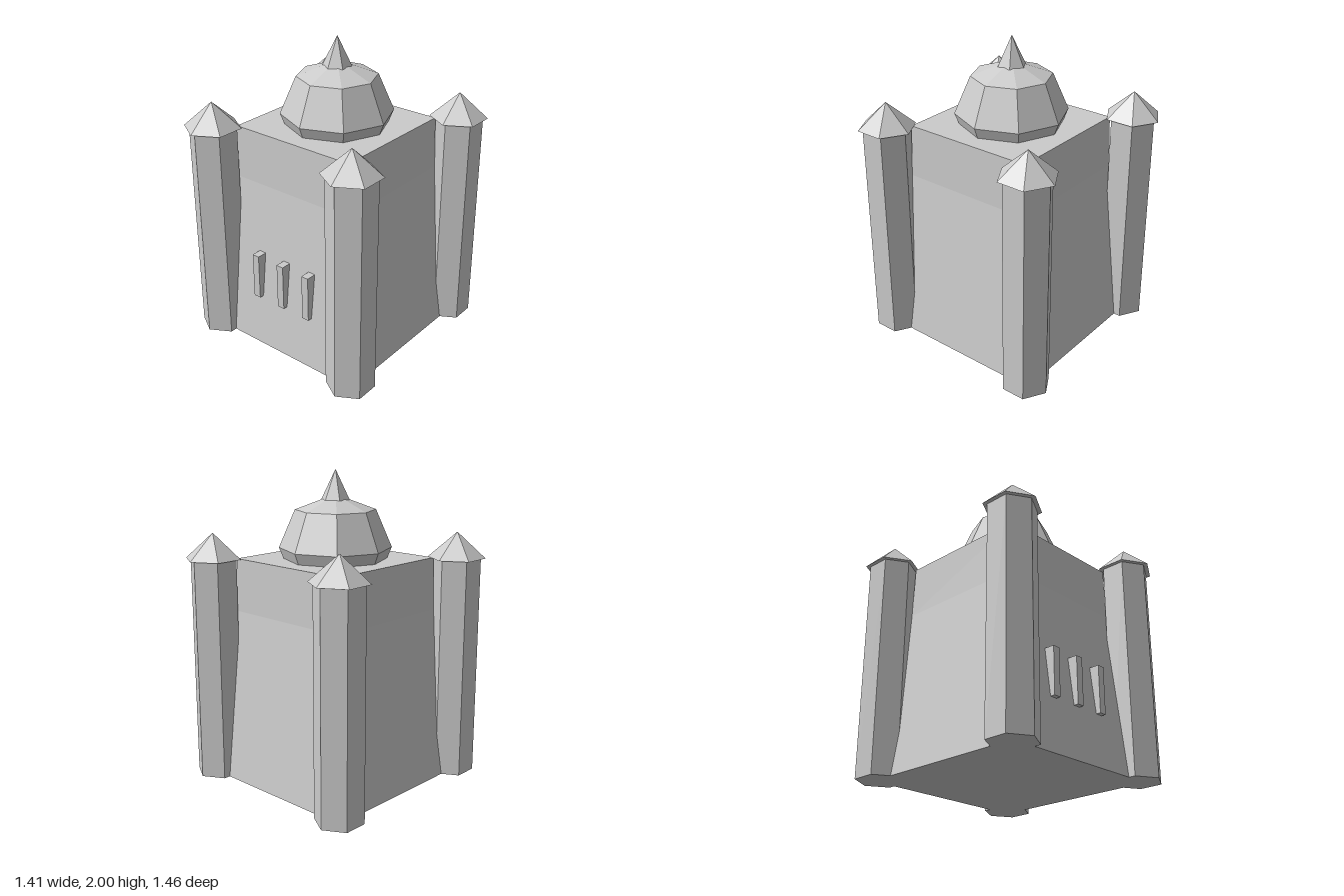
import * as THREE from 'three';

const material = new THREE.MeshStandardMaterial({ color: 0xcccccc, flatShading: true });

function add(parent, name, geometry, x = 0, y = 0, z = 0) {
  const mesh = new THREE.Mesh(geometry, material);
  mesh.name = name;
  mesh.position.set(x, y, z);
  parent.add(mesh);
  return mesh;
}

// Square block with different half widths at bottom and top, standing on y = 0
function taperedBlock(bottom, top, height) {
  return new THREE.CylinderGeometry(top * Math.SQRT2, bottom * Math.SQRT2, height, 4)
    .rotateY(Math.PI / 4)
    .translate(0, height / 2, 0);
}

export function createModel() {
  const model = new THREE.Group();
  model.name = 'domedTower';

  // Sloping walls with an upright band on top
  add(model, 'lowerWalls', taperedBlock(0.58, 0.45, 1.1));
  add(model, 'upperWalls', taperedBlock(0.45, 0.442, 0.34), 0, 1.1, 0);

  // Hexagonal corner turrets with pointed roofs
  for (const sx of [-1, 1]) {
    for (const sz of [-1, 1]) {
      const turret = new THREE.Group();
      turret.name = 'cornerTurret';
      turret.position.set(sx * 0.547, 0, sz * 0.547);
      add(turret, 'turretShaft', new THREE.CylinderGeometry(0.154, 0.154, 1.44, 6), 0, 0.72, 0);
      add(turret, 'turretRoof', new THREE.ConeGeometry(0.184, 0.165, 6), 0, 1.5225, 0);
      model.add(turret);
    }
  }

  // Eight-sided dome and its spire
  const profile = [[0, 1.44], [0.33, 1.44], [0.358, 1.51], [0.255, 1.75], [0, 1.845]]
    .map(([r, y]) => new THREE.Vector2(r, y));
  add(model, 'dome', new THREE.LatheGeometry(profile, 8));
  add(model, 'spire', new THREE.ConeGeometry(0.092, 0.19, 6), 0, 1.905, 0);

  // Three upright window bars on the front wall
  for (const x of [-0.205, 0, 0.205]) {
    add(model, 'windowBar', new THREE.BoxGeometry(0.05, 0.305, 0.1), x, 0.4975, 0.52);
  }

  return model;
}
